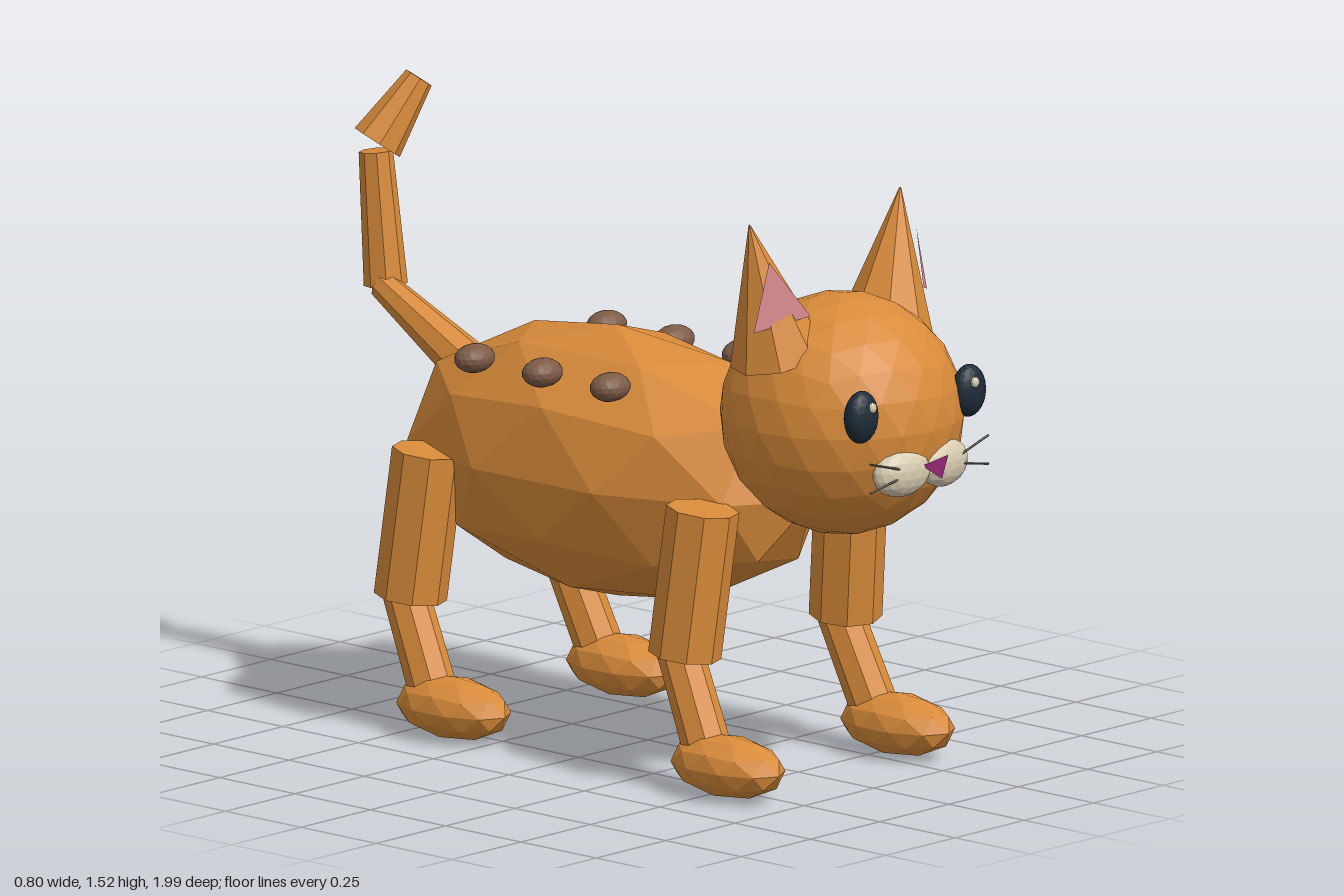
import * as THREE from 'three';

const material = (name, color, side = THREE.FrontSide) => {
  const m = new THREE.MeshStandardMaterial({ color, flatShading: true, side });
  m.name = name;
  return m;
};

export function createModel() {
  const fur = material('orange fur', 0xd98b3a);
  const pink = material('inner ear pink', 0xd88a90, THREE.DoubleSide);
  const cream = material('muzzle cream', 0xd8ccb0);
  const magenta = material('nose magenta', 0xb52f8c);
  const navy = material('eye navy', 0x1d2b38);
  const brown = material('spot brown', 0x7d5b47);
  const grey = material('whisker grey', 0x6a6558);

  const root = new THREE.Group();
  root.name = 'cat';
  const V = (p) => new THREE.Vector3(...p);

  const add = (name, geometry, mat, parent = root) => {
    const mesh = new THREE.Mesh(geometry, mat);
    mesh.name = name;
    parent.add(mesh);
    return mesh;
  };

  // Faceted ellipsoid with a vertex at the top pole
  const blob = (name, detail, centre, radii, mat, parent) => {
    const g = new THREE.IcosahedronGeometry(1, detail);
    g.rotateX(-Math.atan((1 + Math.sqrt(5)) / 2)).rotateY(Math.PI / 2);
    g.scale(...radii);
    const mesh = add(name, g, mat, parent);
    mesh.position.set(...centre);
    return mesh;
  };

  // Tapered prism between two points
  const limb = (name, from, to, r0, r1, sides, mat, parent) => {
    const a = V(from), b = V(to), d = b.clone().sub(a);
    const g = new THREE.CylinderGeometry(r1, r0, d.length(), sides);
    const mesh = add(name, g, mat, parent);
    mesh.position.copy(a).add(b).multiplyScalar(0.5);
    mesh.quaternion.setFromUnitVectors(new THREE.Vector3(0, 1, 0), d.normalize());
    return mesh;
  };

  const faces = (name, points, index, mat, parent) => {
    const g = new THREE.BufferGeometry();
    g.setAttribute('position', new THREE.Float32BufferAttribute(points.flat(), 3));
    g.setIndex(index);
    const flat = g.toNonIndexed();
    flat.computeVertexNormals();
    return add(name, flat, mat, parent);
  };

  // Body and head
  blob('body', 1, [0, 0.69, -0.1], [0.325, 0.34, 0.645], fur);
  const head = new THREE.Group();
  head.name = 'head';
  root.add(head);
  blob('skull', 3, [0, 0.93, 0.645], [0.3, 0.3, 0.3], fur, head);

  for (const s of [1, -1]) {
    const side = s > 0 ? 'left' : 'right';

    // Face
    blob(side + 'Eye', 3, [s * 0.194, 0.99, 0.887], [0.051, 0.066, 0.034], navy, head);
    blob(side + 'EyeGlint', 1, [s * 0.185, 1.016, 0.916], [0.013, 0.014, 0.01], cream, head);
    const cheek = blob(side + 'Muzzle', 2, [s * 0.076, 0.834, 0.912], [0.086, 0.06, 0.04], cream, head);
    cheek.rotation.y = s * 0.12;
    [[0.882, 0.85], [0.81, 0.832]].forEach(([outer, inner]) =>
      limb(side + 'Whisker', [s * 0.1, inner, 0.94], [s * 0.213, outer, 0.935], 0.003, 0.003, 5, grey, head));

    // Ear
    limb(side + 'Ear', [s * 0.192, 1.097, 0.61], [s * 0.272, 1.438, 0.588], 0.12, 0.002, 8, fur, head);

    // Legs
    for (const [end, z] of [['Front', 0], ['Rear', -0.91]]) {
      const leg = new THREE.Group();
      leg.name = side + end + 'Leg';
      leg.position.z = z;
      root.add(leg);
      limb('upperLeg', [s * 0.29, 0.33, 0.39], [s * 0.268, 0.7, 0.43], 0.09, 0.09, 8, fur, leg);
      limb('lowerLeg', [s * 0.302, 0.1, 0.48], [s * 0.287, 0.34, 0.37], 0.06, 0.057, 8, fur, leg);
      blob('paw', 1, [s * 0.306, 0.08, 0.548], [0.098, 0.077, 0.17], fur, leg);
    }

    // Back spots
    for (const z of [0.095, -0.13, -0.355])
      blob(side + 'Spot', 2, [s * 0.238, 0.946, z], [0.057, 0.036, 0.044], brown);
  }

  // Inner ears, set at slightly different angles
  faces('rightInnerEar', [[-0.27, 1.353, 0.652], [-0.318, 1.183, 0.645], [-0.173, 1.21, 0.7]],
    [0, 1, 2], pink, head);
  faces('leftInnerEar', [[0.262, 1.352, 0.65], [0.265, 1.2, 0.672], [0.317, 1.183, 0.635]],
    [0, 1, 2], pink, head);

  // Nose: wedge with a level back edge and an upright front edge
  faces('nose', [[-0.033, 0.849, 0.942], [0.033, 0.849, 0.942], [0, 0.88, 0.998], [0, 0.816, 0.977]],
    [0, 2, 1, 0, 1, 3, 0, 3, 2, 1, 2, 3], magenta, head);

  // Tail in three bent pieces
  const tail = new THREE.Group();
  tail.name = 'tail';
  root.add(tail);
  limb('tailBase', [0, 0.84, -0.58], [0, 1.005, -0.88], 0.062, 0.036, 8, fur, tail);
  limb('tailMiddle', [0.02, 1.0, -0.887], [0.02, 1.33, -0.92], 0.054, 0.042, 8, fur, tail);
  limb('tailTip', [0.038, 1.345, -0.932], [0.132, 1.5, -0.88], 0.066, 0.037, 8, fur, tail);

  return root;
}
